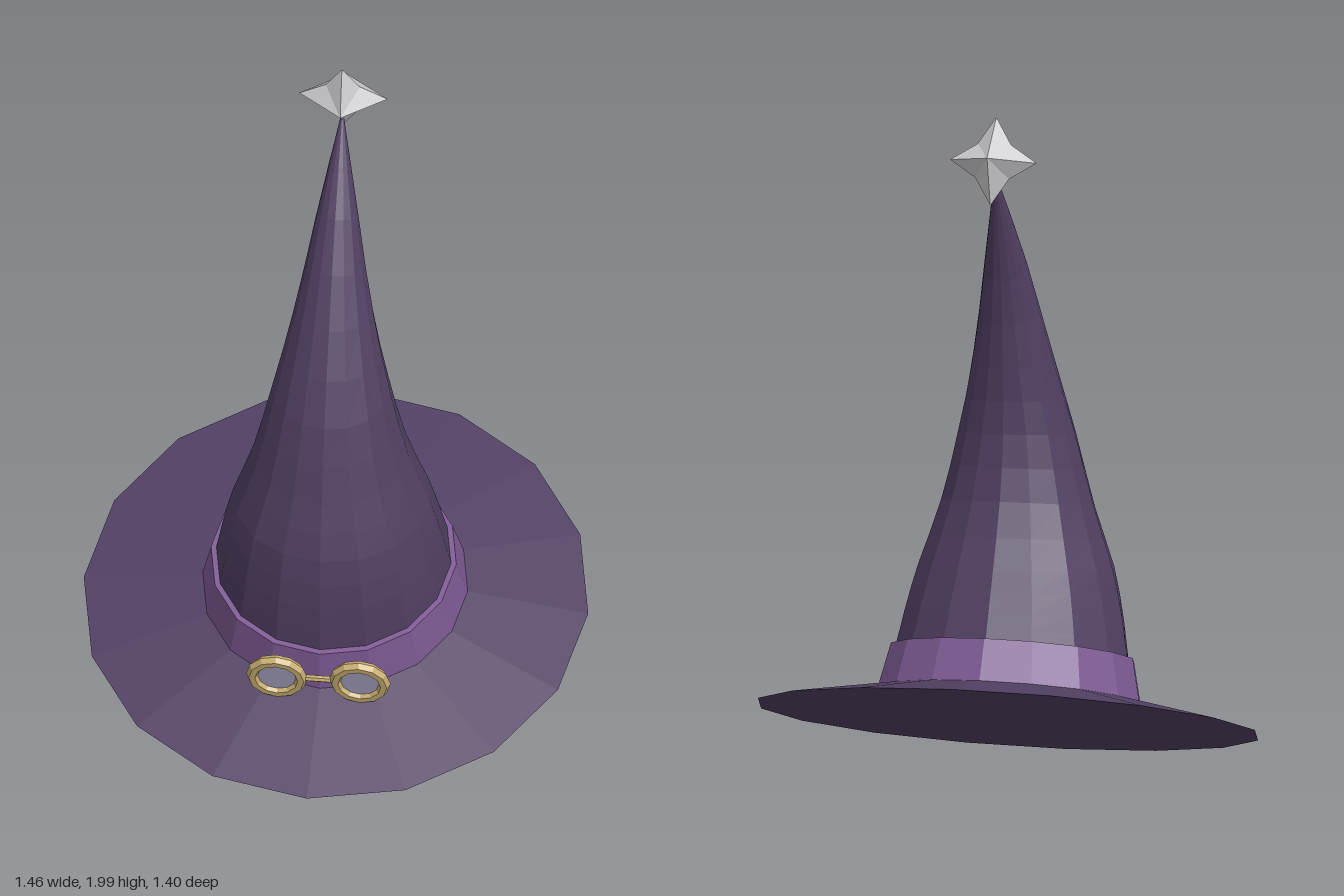
import * as THREE from 'three';

const SIDES = 16;
const mat = (name, color, side = THREE.FrontSide) => {
  const m = new THREE.MeshStandardMaterial({ color, flatShading: true, side });
  m.name = name;
  return m;
};

function add(parent, name, geometry, material, x = 0, y = 0, z = 0) {
  const mesh = new THREE.Mesh(geometry, material);
  mesh.name = name;
  mesh.position.set(x, y, z);
  parent.add(mesh);
  return mesh;
}

const lathe = (pts) => new THREE.LatheGeometry(pts.map(([r, y]) => new THREE.Vector2(r, y)), SIDES);

// Bent cone: rings spanned between a front edge and a back edge, given as [z, y]
function bentCone(front, back, rings) {
  const curve = (pts) => new THREE.CatmullRomCurve3(pts.map(([z, y]) => new THREE.Vector3(0, y, z)));
  const f = curve(front), b = curve(back), pos = [], idx = [];
  for (let j = 0; j <= rings; j++) {
    const p = f.getPoint(j / rings), q = b.getPoint(j / rings);
    const centre = p.clone().add(q).multiplyScalar(0.5);
    const half = p.clone().sub(centre), r = half.length();
    for (let i = 0; i < SIDES; i++) {
      const a = (i / SIDES) * Math.PI * 2;
      pos.push(Math.sin(a) * r, centre.y + half.y * Math.cos(a), centre.z + half.z * Math.cos(a));
    }
  }
  for (let j = 0; j < rings; j++) {
    for (let i = 0; i < SIDES; i++) {
      const a = j * SIDES + i, b2 = j * SIDES + (i + 1) % SIDES;
      idx.push(a, b2, b2 + SIDES, a, b2 + SIDES, a + SIDES);
    }
  }
  const g = new THREE.BufferGeometry();
  g.setAttribute('position', new THREE.Float32BufferAttribute(pos, 3));
  g.setIndex(idx);
  g.computeVertexNormals();
  return g;
}

// Four-pointed star rising to one apex at the front and one at the back
function starGeometry(outer, inner, depth) {
  const pos = [];
  const rim = (i) => {
    const r = i % 2 ? inner : outer, a = (i / 8) * Math.PI * 2;
    return [Math.cos(a) * r, Math.sin(a) * r, 0];
  };
  for (let i = 0; i < 8; i++) {
    pos.push(...rim(i), ...rim(i + 1), 0, 0, depth);
    pos.push(...rim(i + 1), ...rim(i), 0, 0, -depth);
  }
  const g = new THREE.BufferGeometry();
  g.setAttribute('position', new THREE.Float32BufferAttribute(pos, 3));
  g.computeVertexNormals();
  return g;
}

export function createModel() {
  const model = new THREE.Group();
  model.name = 'witchHat';
  const cloth = mat('dark purple cloth', 0x514063);
  const ribbon = mat('purple ribbon', 0x7d5a94);
  const brass = mat('brass', 0xc8ae72);
  const glass = mat('lilac glass', 0xa59fbc, THREE.DoubleSide);
  const silver = mat('silver', 0xcfcfd2);
  const tilt = 0.292;

  // Brim and band lean forward together
  const base = new THREE.Group();
  base.name = 'tiltedBase';
  base.position.y = 0.218;
  base.rotation.x = tilt;
  model.add(base);
  add(base, 'brim', lathe([[0, 0], [0.73, 0], [0.385, 0.066], [0.33, 0.075]]), cloth);
  add(base, 'band', lathe([[0.385, 0.06], [0.355, 0.192], [0.335, 0.192]]), ribbon);

  // Cone sweeping back to its tip
  add(model, 'cone', bentCone(
    [[0.377, 0.28], [0.39, 0.45], [0.383, 0.62], [0.34, 0.79], [0.28, 1.02], [0.17, 1.29], [0.02, 1.58], [-0.148, 1.83]],
    [[-0.28, 0.481], [-0.235, 0.575], [-0.185, 0.68], [-0.1, 0.87], [-0.06, 1.06], [-0.06, 1.25], [-0.085, 1.51], [-0.155, 1.826]],
    14), cloth);

  // Star on the tip
  const star = add(model, 'star', starGeometry(0.128, 0.07, 0.08), silver, 0, 1.878, -0.178);
  star.rotation.x = tilt;

  // Goggles resting against the band
  const goggles = new THREE.Group();
  goggles.name = 'goggles';
  goggles.position.set(0, 0.135, 0.4);
  base.add(goggles);
  for (const s of [-1, 1]) {
    add(goggles, s > 0 ? 'leftRim' : 'rightRim', new THREE.TorusGeometry(0.071, 0.018, 6, 12), brass, s * 0.12);
    add(goggles, s > 0 ? 'leftLens' : 'rightLens', new THREE.CircleGeometry(0.066, 12), glass, s * 0.12, 0, 0.004);
  }
  const bridge = add(goggles, 'bridge', new THREE.CylinderGeometry(0.01, 0.01, 0.08, 6), brass);
  bridge.rotation.z = Math.PI / 2;

  return model;
}
